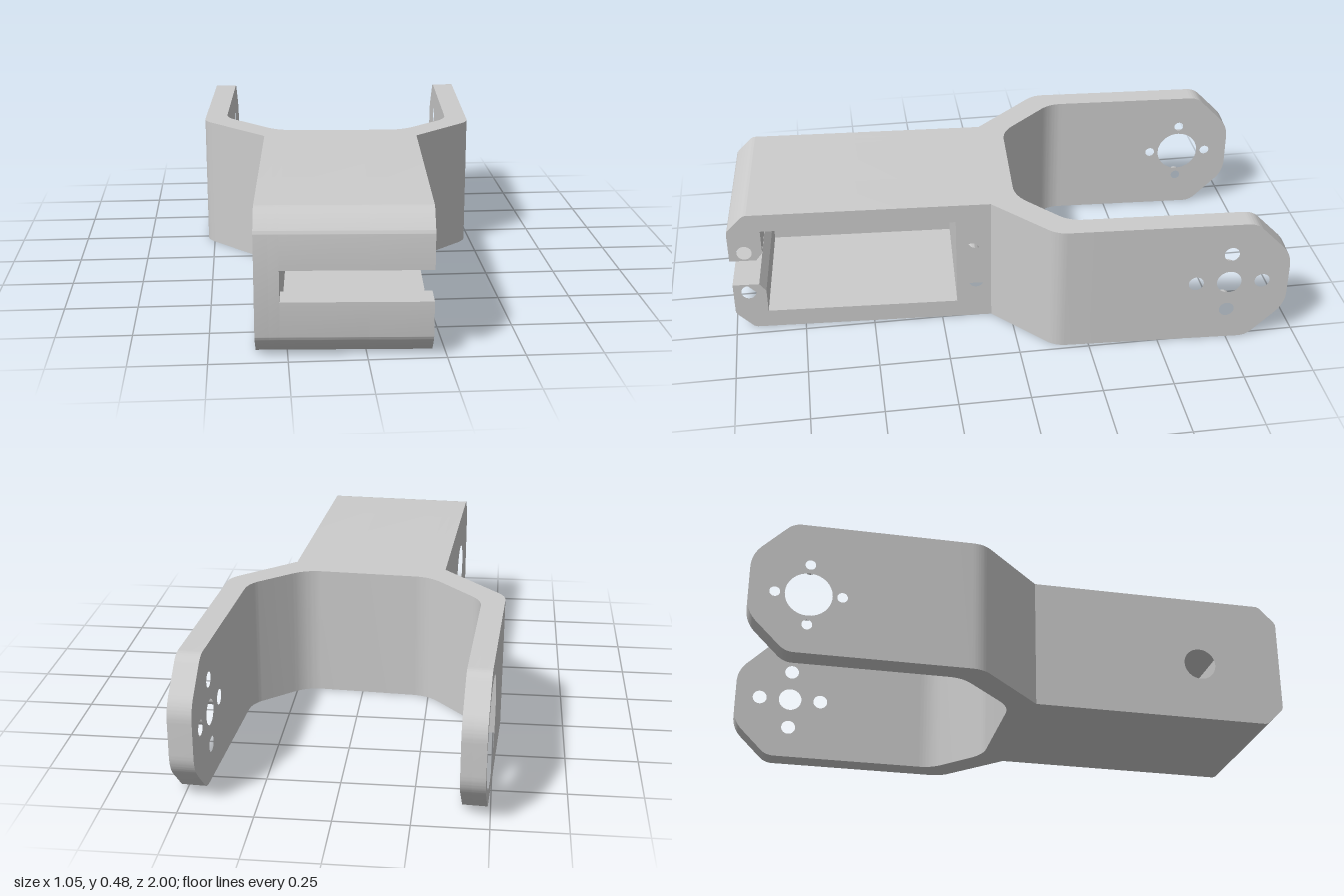
import * as THREE from 'three';
import { toCreasedNormals } from 'three/addons/utils/BufferGeometryUtils.js';

const H = 0.48, MID = H / 2;
const material = new THREE.MeshStandardMaterial({ color: 0xcccccc });

// Closed outline from [a, b, cornerRound] points; the rounding is the cut-back along each edge.
function outline(points) {
  const shape = new THREE.Shape();
  const v = points.map(([a, b]) => new THREE.Vector2(a, b));
  const n = v.length;
  points.forEach(([a, b, t = 0], i) => {
    const toward = (q) => v[i].clone().add(q.clone().sub(v[i]).setLength(t));
    const p = t ? toward(v[(i + n - 1) % n]) : v[i];
    if (i === 0) shape.moveTo(p.x, p.y);
    else shape.lineTo(p.x, p.y);
    if (t) {
      const e = toward(v[(i + 1) % n]);
      shape.quadraticCurveTo(a, b, e.x, e.y);
    }
  });
  shape.closePath();
  return shape;
}

// Side profile given as [z, y, round], with round holes [z, y, radius], extruded from x0 to x1.
function sideSlab(name, points, holes, x0, x1) {
  const shape = outline(points.map(([z, y, t]) => [-z, y, t]));
  for (const [z, y, r] of holes) {
    shape.holes.push(new THREE.Path().absarc(-z, y, r, 0, Math.PI * 2, true));
  }
  const geo = new THREE.ExtrudeGeometry(shape, { depth: x1 - x0, bevelEnabled: false, curveSegments: 16 });
  geo.rotateY(Math.PI / 2).translate(x0, 0, 0);
  return makeMesh(name, geo);
}

function makeMesh(name, geo) {
  const mesh = new THREE.Mesh(toCreasedNormals(geo, 0.5), material);
  mesh.name = name;
  return mesh;
}

// Four screw holes in a cross around a centre
const crossHoles = (z, d, r) =>
  [[d, 0], [-d, 0], [0, d], [0, -d]].map(([dz, dy]) => [z + dz, MID + dy, r]);

// Hollow housing, open on the +x side, with a slot through its front wall
function buildHousing() {
  const g = new THREE.Group();
  g.name = 'housing';
  const back = 0.055, front = 0.985, c = 0.065;
  const x0 = -0.299, x1 = 0.262, inner = -0.22, holeZ = 0.692;
  const wall = [[back, 0], [front - c, 0, 0.012], [front, c, 0.012],
    [front, H - c, 0.012], [front - c, H, 0.012], [back, H]];
  g.add(sideSlab('closedWallOuter', wall, [[holeZ, MID, 0.112]], x0, x0 + 0.045));
  g.add(sideSlab('closedWallInner', wall, [[holeZ, MID, 0.06]], x0 + 0.045, inner));

  // C-shaped section around the cavity
  const s = 0.052, w = 0.082, fz = 0.867, bz = 0.18, cy = 0.172;
  const ring = [
    [back, 0], [front - c, 0, 0.012], [front, c, 0.012],
    [front, MID - s], [0.89, MID - s], [fz, MID - w], [fz, MID - cy],
    [bz, MID - cy], [bz, MID + cy],
    [fz, MID + cy], [fz, MID + w], [0.89, MID + s], [front, MID + s],
    [front, H - c, 0.012], [front - c, H, 0.012], [back, H],
  ];
  const screws = [];
  for (const z of [0.93, 0.11]) for (const dy of [-0.085, 0.085]) screws.push([z, MID + dy, 0.027]);
  g.add(sideSlab('cavityRing', ring, [], inner, 0.06));
  g.add(sideSlab('cavityRingWithScrewHoles', ring, screws, 0.06, x1));
  return g;
}

// Bent yoke joining the housing to the two arms
function buildYoke(armZ) {
  const plan = [
    [-0.299, 0.055], [0.262, 0.055], [0.472, -0.156, 0.04], [0.472, armZ], [0.391, armZ],
    [0.391, -0.206, 0.05], [0.212, -0.033, 0.06], [-0.252, -0.033, 0.06],
    [-0.457, -0.238, 0.05], [-0.457, armZ], [-0.538, armZ], [-0.538, -0.182, 0.04],
  ];
  const shape = outline(plan.map(([x, z, t]) => [x, -z, t]));
  const geo = new THREE.ExtrudeGeometry(shape, { depth: H, bevelEnabled: false, curveSegments: 16 });
  geo.rotateX(-Math.PI / 2);
  return makeMesh('yoke', geo);
}

// Arm profile with chamfered, softly rounded end
const armProfile = (start, end, c = 0.133) => [
  [start, 0], [start, H], [end + c, H, 0.03], [end, H - c, 0.05], [end, c, 0.05], [end + c, 0, 0.03],
];

export function createModel() {
  const model = new THREE.Group();
  model.name = 'forkBracket';
  const body = new THREE.Group();
  body.name = 'bracketBody';
  body.rotation.y = -0.056;
  model.add(body);

  const armZ = -0.3, pivotZ = -0.771;
  body.add(buildHousing(), buildYoke(armZ));

  // Plain arm with small pivot hole
  body.add(sideSlab('leftArm', armProfile(armZ, -0.983),
    [[pivotZ, MID, 0.044], ...crossHoles(pivotZ, 0.118, 0.027)], 0.391, 0.472));

  // Arm with a round recess on its outer face
  const recessed = armProfile(armZ, -0.971);
  body.add(sideSlab('rightArmRecess', recessed, [[pivotZ, MID, 0.185]], -0.538, -0.493));
  body.add(sideSlab('rightArmPlate', recessed,
    [[pivotZ, MID, 0.08], ...crossHoles(pivotZ, 0.113, 0.018)], -0.493, -0.457));
  return model;
}
